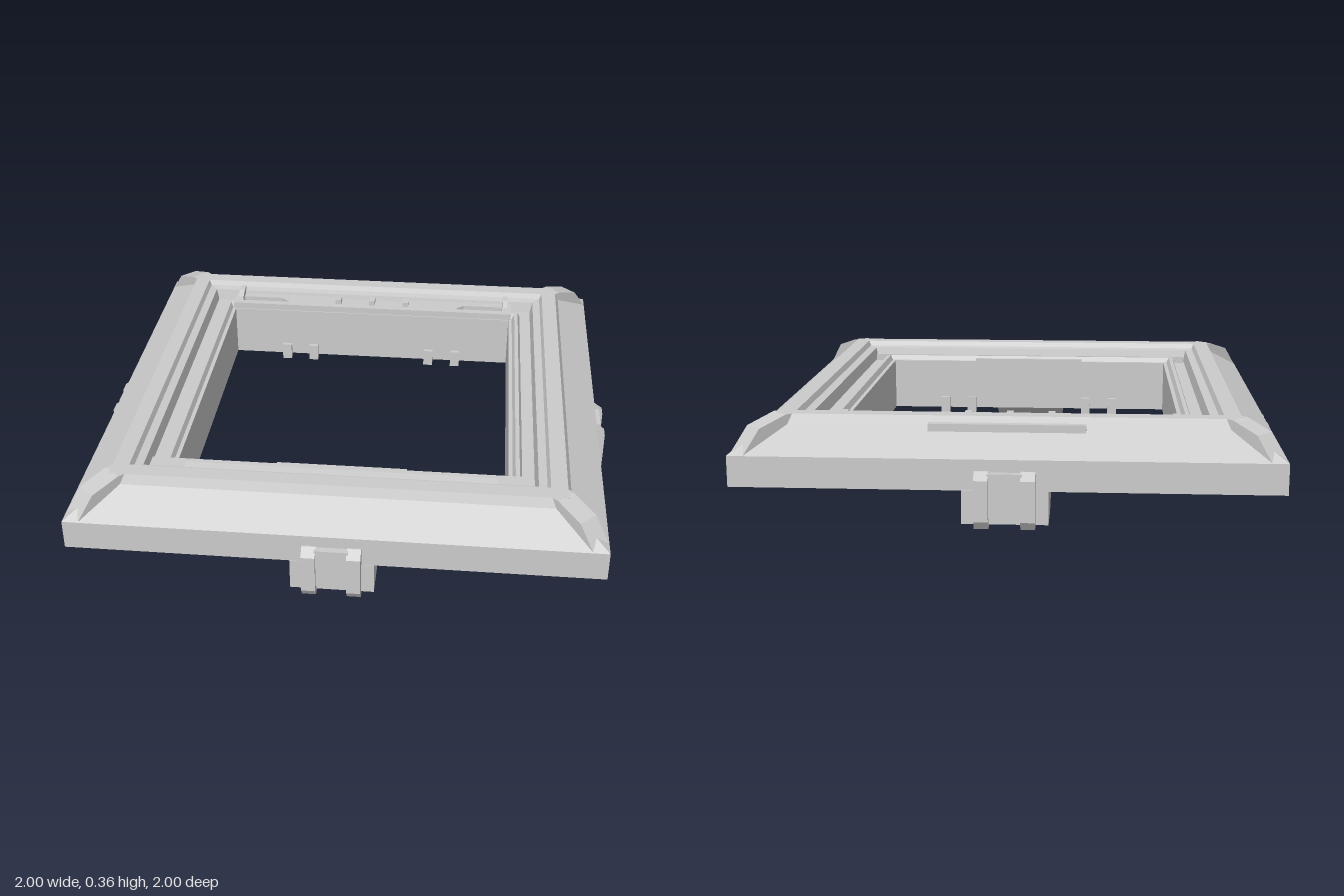
import * as THREE from 'three';
import { toCreasedNormals } from 'three/addons/utils/BufferGeometryUtils.js';

const grey = new THREE.MeshStandardMaterial({ color: 0xcccccc });

function part(parent, name, geometry) {
  const mesh = new THREE.Mesh(geometry, grey);
  mesh.name = name;
  parent.add(mesh);
  return mesh;
}

const shapeOf = (points) => new THREE.Shape(points.map(([a, b]) => new THREE.Vector2(a, b)));

// Sweep a closed [half size, height] section around a square
function squareRing(section) {
  const corners = [[1, 1], [1, -1], [-1, -1], [-1, 1]];
  const at = (k, i) => {
    const [h, y] = section[i % section.length];
    const [sx, sz] = corners[k % 4];
    return [h * sx, y, h * sz];
  };
  const position = [];
  for (let k = 0; k < 4; k++) {
    for (let i = 0; i < section.length; i++) {
      const a = at(k, i), b = at(k + 1, i), c = at(k + 1, i + 1), d = at(k, i + 1);
      position.push(...a, ...b, ...c, ...a, ...c, ...d);
    }
  }
  const g = new THREE.BufferGeometry();
  g.setAttribute('position', new THREE.Float32BufferAttribute(position, 3));
  g.computeVertexNormals();
  return g;
}

// Extrude a (z, y) outline along x, centred on x
function prism(points, width, x = 0) {
  const g = new THREE.ExtrudeGeometry(shapeOf(points), { depth: width, bevelEnabled: false });
  return g.rotateY(-Math.PI / 2).translate(x + width / 2, 0, 0);
}

// Extrude an (x, z) outline upwards between two heights
function plate(points, y0, y1, holes = []) {
  const flip = (list) => list.map(([x, z]) => [x, -z]);
  const shape = shapeOf(flip(points));
  holes.forEach((hole) => shape.holes.push(shapeOf(flip(hole))));
  const g = new THREE.ExtrudeGeometry(shape, { depth: y1 - y0, bevelEnabled: false });
  return g.rotateX(-Math.PI / 2).translate(0, y0, 0);
}

const rect = (x0, x1, z0, z1) => [[x0, z0], [x1, z0], [x1, z1], [x0, z1]];
const box = (w, h, d, x, y, z) => new THREE.BoxGeometry(w, h, d).translate(x, y, z);

export function createModel() {
  const model = new THREE.Group();
  model.name = 'squareFrame';

  // Stepped frame with sloping outer faces
  part(model, 'frame', squareRing([
    [0.96, 0.13], [0.96, 0.24], [0.83, 0.325], [0.815, 0.36], [0.755, 0.36],
    [0.745, 0.34], [0.715, 0.335], [0.705, 0.29], [0.66, 0.29], [0.65, 0.315],
    [0.635, 0.315], [0.625, 0.295], [0.61, 0.295], [0.61, 0.08], [0.65, 0.08],
  ]));

  // Raised diagonal ribs on the corners
  const rib = [[0.93, 0.24], [0.882, 0.325], [0.805, 0.36], [0.77, 0.36], [0.77, 0.2]]
    .map(([h, y]) => [h * Math.SQRT2, y]);
  for (let k = 0; k < 4; k++) {
    part(model, 'cornerRib', prism(rib, 0.08)).rotation.y = Math.PI / 4 + k * Math.PI / 2;
  }

  // Wavy undersides of the two side bars
  const half = [
    [0.96, 0.13], [0.85, 0.118], [0.72, 0.098], [0.6, 0.078], [0.5, 0.055],
    [0.41, 0.025], [0.34, 0.015], [0.28, 0.02], [0.2, 0.043], [0.12, 0.055],
  ].map(([z, y]) => new THREE.Vector3(z, y, 0));
  const mirrored = half.map((p) => new THREE.Vector3(-p.x, p.y, 0)).reverse();
  const wave = new THREE.CatmullRomCurve3([...half, ...mirrored])
    .getPoints(76).map((p) => [p.x, p.y]);
  for (const side of [-1, 1]) {
    part(model, 'sideUnderside', toCreasedNormals(prism(wave, 0.31, side * 0.805), 0.6));
  }

  // Latch with its bracket in the middle of each side
  for (let k = 0; k < 4; k++) {
    const latch = new THREE.Group();
    latch.name = 'latch';
    latch.rotation.y = k * Math.PI / 2;
    model.add(latch);
    part(latch, 'bracket', prism(
      [[0.962, 0.13], [0.962, 0.012], [0.8, 0.012], [0.68, 0.08], [0.66, 0.14]], 0.3));
    part(latch, 'latchPanel', box(0.12, 0.155, 0.035, 0, 0.118, 0.967));
    for (const side of [-1, 1]) {
      part(latch, 'latchPost', prism([
        [0.94, 0.2], [0.965, 0.2], [1, 0.175], [1, 0.03], [0.98, 0], [0.94, 0],
      ], 0.05, side * 0.08));
    }
  }

  // Small catches on the lower edge of the opening
  for (const z of [-1, 1]) {
    for (const x of [-0.38, -0.26, 0.26, 0.38]) {
      part(model, 'openingCatch', box(0.04, 0.07, 0.035, x, 0.095, z * 0.61));
    }
  }

  // Front ledge with a long sloping channel
  part(model, 'frontLedge', plate(rect(-0.7, 0.7, 0.635, 0.72), 0.285, 0.318,
    [rect(-0.57, 0.57, 0.655, 0.705)]));
  part(model, 'channelFloor', prism(
    [[0.652, 0.282], [0.708, 0.282], [0.708, 0.308], [0.68, 0.294], [0.652, 0.292]], 1.14));
  part(model, 'frontLip', box(0.48, 0.012, 0.015, 0, 0.3, 0.617));

  // Back ledge with a notched edge and tapered slots
  const slot = (s) => [[s * 0.37, -0.645], [s * 0.58, -0.645], [s * 0.58, -0.68], [s * 0.41, -0.68]];
  part(model, 'backLedge', plate([
    [-0.62, -0.615], [0.62, -0.615], [0.62, -0.73], [0.2, -0.73],
    [0.16, -0.695], [-0.16, -0.695], [-0.2, -0.73], [-0.62, -0.73],
  ], 0.285, 0.322, [slot(-1), slot(1)]));
  for (const x of [-0.15, 0, 0.15]) {
    part(model, 'backCatch', box(0.025, 0.035, 0.045, x, 0.325, -0.665));
  }
  for (const side of [-1, 1]) {
    part(model, 'hingeTab', prism(
      [[-0.735, 0.3], [-0.64, 0.3], [-0.65, 0.335], [-0.69, 0.35], [-0.735, 0.35]], 0.022, side * 0.592));
  }

  // Finger tab on the back rim
  part(model, 'fingerTab', plate(
    [[-0.25, -0.8], [0.25, -0.8], [0.275, -0.825], [0.275, -0.852], [-0.275, -0.852], [-0.275, -0.825]],
    0.29, 0.338));

  return model;
}
